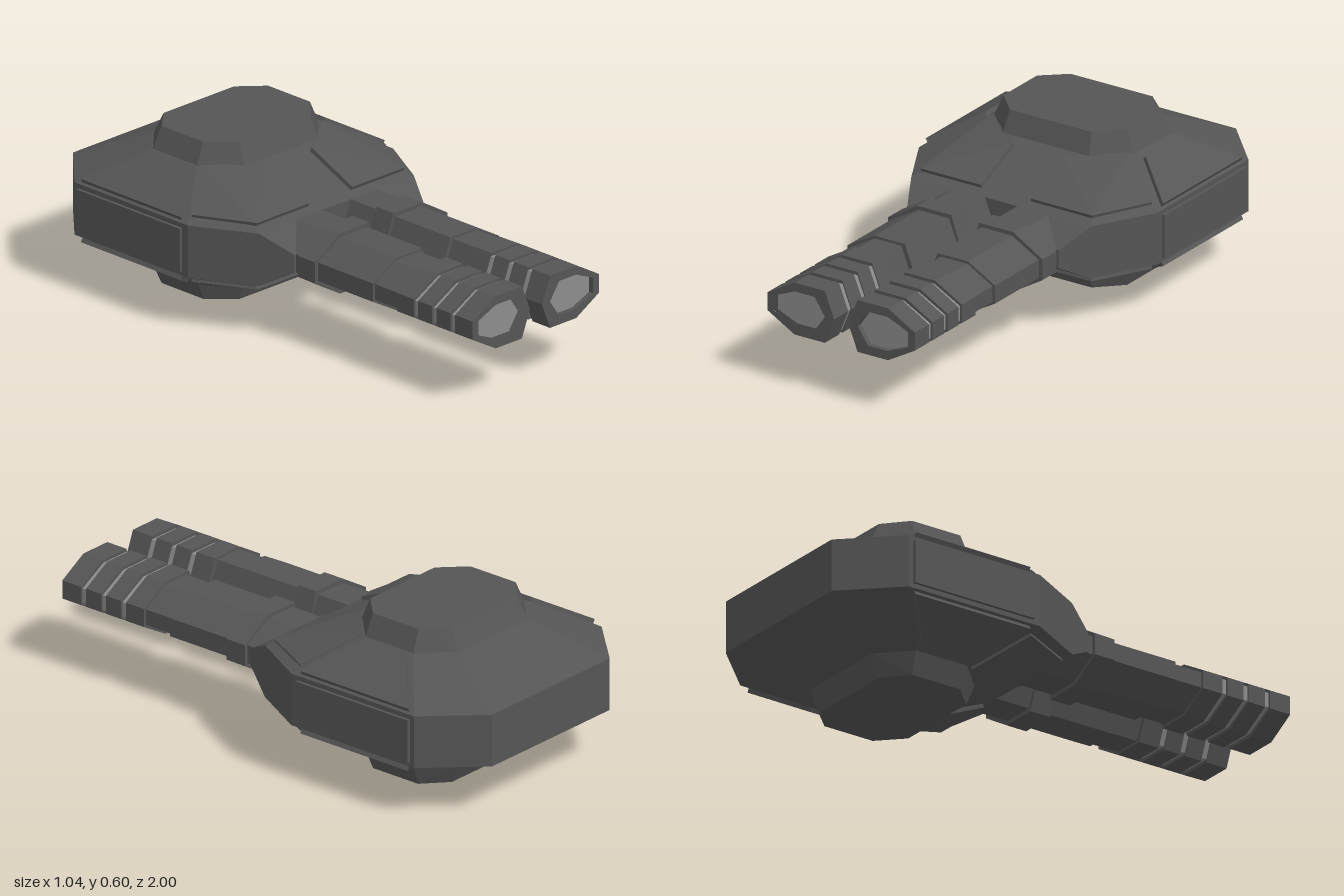
import * as THREE from 'three';
import { ConvexGeometry } from 'three/addons/geometries/ConvexGeometry.js';

const MID_Y = 0.3; // the whole model mirrors about this height
const dark = new THREE.MeshStandardMaterial({ color: 0x555555, flatShading: true });
const light = new THREE.MeshStandardMaterial({ color: 0x8c8c8c, flatShading: true });

const flipX = (p) => [-p[0], p[1], p[2]];
const flipY = (p) => [p[0], 2 * MID_Y - p[1], p[2]];
const bothX = (pts) => [...pts, ...pts.map(flipX)];
const bothY = (pts) => [...pts, ...pts.map(flipY)];

// Faceted solid around a set of corners
function solid(name, pts, material = dark) {
  const mesh = new THREE.Mesh(new ConvexGeometry(pts.map((p) => new THREE.Vector3(...p))), material);
  mesh.name = name;
  return mesh;
}

// Corners of a plate lying on the hull, thickened along a direction
function plate(pts, dir, thickness) {
  const shift = (p, t) => p.map((v, i) => v + dir[i] * t);
  return pts.flatMap((p) => [shift(p, thickness), shift(p, -0.015)]);
}

// Barrel cross-section (for +x barrel): flat top, point inside, bevel outside
const BARREL = [[0.03, 0.3], [0.07, 0.2], [0.2, 0.2], [0.315, 0.265], [0.315, 0.335], [0.2, 0.4], [0.07, 0.4]];
const COLLAR = [[0.02, 0.3], [0.06, 0.185], [0.205, 0.185], [0.33, 0.26], [0.33, 0.34], [0.205, 0.415], [0.06, 0.415]];
const NECK = [[0.05, 0.3], [0.085, 0.21], [0.2, 0.21], [0.305, 0.27], [0.305, 0.33], [0.2, 0.39], [0.085, 0.39]];
const GROOVE = [[0.035, 0.3], [0.07, 0.212], [0.195, 0.212], [0.307, 0.272], [0.307, 0.328], [0.195, 0.388], [0.07, 0.388]];
const BORE = [[0.07, 0.3], [0.115, 0.235], [0.2, 0.235], [0.285, 0.27], [0.285, 0.33], [0.2, 0.366], [0.115, 0.366]];

function segment(name, section, side, z0, z1, material = dark, hole = null) {
  const toVec = ([x, y]) => new THREE.Vector2(x * side, y);
  const shape = new THREE.Shape(section.map(toVec));
  if (hole) shape.holes.push(new THREE.Path(hole.map(toVec)));
  const geometry = new THREE.ExtrudeGeometry(shape, { depth: z1 - z0, bevelEnabled: false });
  geometry.translate(0, 0, z0);
  const mesh = new THREE.Mesh(geometry, material);
  mesh.name = name;
  return mesh;
}

function barrel(side) {
  const g = new THREE.Group();
  g.name = side > 0 ? 'leftBarrel' : 'rightBarrel';
  g.add(segment('rearBarrel', BARREL, side, -0.1, 0.5));
  g.add(segment('collar', COLLAR, side, 0.14, 0.225));
  g.add(segment('neck', NECK, side, 0.5, 0.62));
  // Front sleeve split by three shallow vent grooves
  let z = 0.62;
  for (const groove of [0.705, 0.797, 0.89]) {
    g.add(segment('sleeve', BARREL, side, z, groove));
    g.add(segment('ventGroove', GROOVE, side, groove, groove + 0.022, light));
    z = groove + 0.022;
  }
  g.add(segment('sleeve', BARREL, side, z, 0.975));
  g.add(segment('muzzleRim', BARREL, side, 0.975, 1, dark, BORE));
  g.add(segment('bore', BORE, side, 0.965, 0.98, light));
  return g;
}

export function createModel() {
  const model = new THREE.Group();
  model.name = 'twinBarrelTurret';

  // Hull: wide vertical band tapering to a smaller deck above and below
  const deck = [[0.185, 0.52, -0.275], [0.305, 0.52, -0.395], [0.305, 0.52, -0.62], [0.185, 0.52, -0.735]];
  const belt = [[0.385, 0.4, 0], [0.51, 0.4, -0.23], [0.51, 0.4, -0.8], [0.32, 0.4, -1]];
  model.add(solid('hull', bothY(bothX([...deck, ...belt]))));

  // Raised caps on top and underneath
  const capTop = [[0.175, 0.6, -0.31], [0.265, 0.6, -0.4], [0.265, 0.6, -0.61], [0.175, 0.6, -0.69]];
  const cap = bothX([...deck.map(([x, y, z]) => [x, y - 0.01, z]), ...capTop]);
  model.add(solid('topCap', cap), solid('bottomCap', cap.map(flipY)));

  // Armour plates and cheeks for one quarter, mirrored to all four
  const sidePlate = plate(
    [[0.5, 0.406, -0.77], [0.5, 0.406, -0.27], [0.335, 0.502, -0.4], [0.335, 0.502, -0.62]],
    [0.5, 0.86, 0], 0.017);
  const frontPlate = plate(
    [[0.105, 0.503, -0.24], [0.295, 0.512, -0.38], [0.475, 0.412, -0.25], [0.365, 0.411, -0.035], [0.105, 0.412, -0.035]],
    [0.15, 0.9, 0.35], 0.018);
  const cheek = bothY([[0.385, 0.4, 0], [0.2, 0.4, 0], [0.325, 0.335, 0.115], [0.2, 0.335, 0.115]]);

  for (const side of [1, -1]) {
    const place = (pts) => (side > 0 ? pts : pts.map(flipX));
    model.add(solid('upperSidePlate', place(sidePlate)), solid('lowerSidePlate', place(sidePlate.map(flipY))));
    model.add(solid('upperFrontPlate', place(frontPlate)), solid('lowerFrontPlate', place(frontPlate.map(flipY))));
    model.add(solid('cheek', place(cheek)));

    const door = new THREE.Mesh(new THREE.BoxGeometry(0.03, 0.165, 0.52), dark);
    door.name = 'sidePanel';
    door.position.set(side * 0.507, MID_Y, -0.52);
    model.add(door);

    model.add(barrel(side));
  }
  return model;
}
